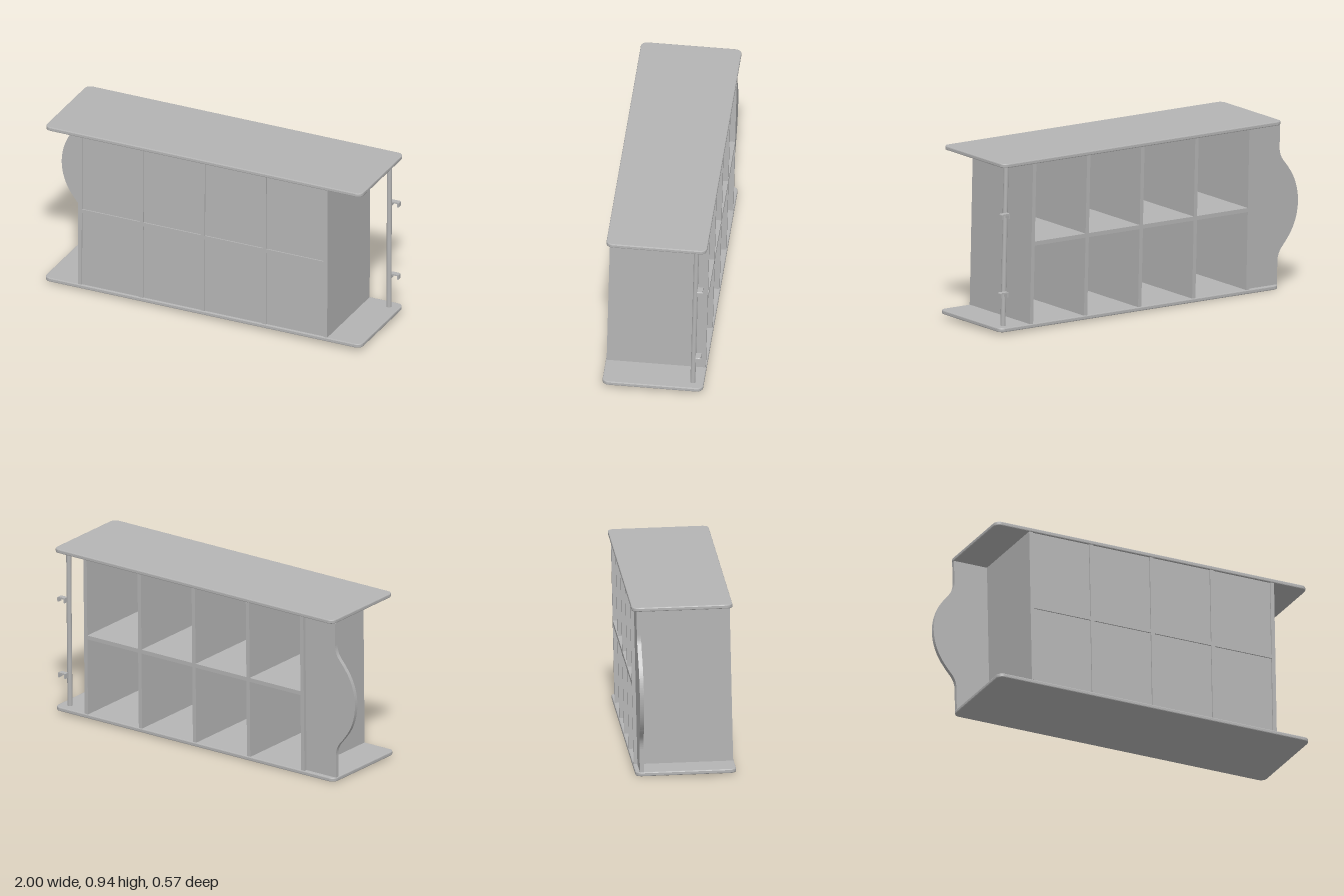
import * as THREE from 'three';

export function createModel() {
  const model = new THREE.Group();
  const body = new THREE.Group();
  body.name = 'cubbyShelf';
  model.add(body);

  const grey = new THREE.MeshStandardMaterial({ color: 0xb4b4b4 });
  grey.name = 'paintedGrey';

  const add = (name, geometry, x = 0, y = 0, z = 0) => {
    const mesh = new THREE.Mesh(geometry, grey);
    mesh.name = name;
    mesh.position.set(x, y, z);
    body.add(mesh);
    return mesh;
  };
  const box = (name, w, h, d, x, y, z) => add(name, new THREE.BoxGeometry(w, h, d), x, y, z);

  // Main dimensions, measured from the centre of the unit
  const halfLength = 0.932, halfDepth = 0.269, halfHeight = 0.46;
  const board = 0.022, inner = halfHeight - board, cell = 0.361;

  // Long outer panels with rounded corners and eased edges
  const bevel = 0.005, radius = 0.03, a = halfLength - bevel, b = halfDepth - bevel;
  const outline = new THREE.Shape();
  outline.moveTo(-a + radius, -b);
  outline.lineTo(a - radius, -b);
  outline.absarc(a - radius, -b + radius, radius, -Math.PI / 2, 0);
  outline.absarc(a - radius, b - radius, radius, 0, Math.PI / 2);
  outline.absarc(-a + radius, b - radius, radius, Math.PI / 2, Math.PI);
  outline.absarc(-a + radius, -b + radius, radius, Math.PI, Math.PI * 1.5);
  const panelGeometry = new THREE.ExtrudeGeometry(outline, {
    depth: board - 2 * bevel, bevelEnabled: true, bevelSize: bevel,
    bevelThickness: bevel, bevelSegments: 2, curveSegments: 8,
  });
  panelGeometry.center();
  panelGeometry.rotateX(-Math.PI / 2);
  for (const side of [-1, 1]) {
    add(side > 0 ? 'upperSidePanel' : 'lowerSidePanel', panelGeometry, 0, side * (halfHeight - board / 2), 0);
  }

  // Five cross boards and the middle divider form eight cells
  for (let i = -2; i <= 2; i++) box('crossBoard', board, 2 * inner, 0.53, i * cell, 0, 0);
  for (let i = 0; i < 4; i++) {
    const x = (i - 1.5) * cell;
    box('middleDivider', cell - board, board, 0.53, x, 0, 0);
    // Slightly recessed closing panels
    for (const side of [-1, 1]) {
      box('closingPanel', cell - board, inner - board / 2, 0.008, x, side * (inner + board / 2) / 2, 0.254);
    }
  }

  // Curved header board with a rounded crest
  const crest = new THREE.Shape();
  crest.moveTo(-0.733, -inner);
  crest.lineTo(-0.733, inner);
  crest.lineTo(-0.93, inner);
  crest.lineTo(-0.93, 0.31);
  crest.bezierCurveTo(-0.932, 0.25, -0.965, 0.235, -0.995, 0.19);
  crest.bezierCurveTo(-1.035, 0.14, -1.06, 0.07, -1.06, 0);
  crest.bezierCurveTo(-1.06, -0.07, -1.035, -0.14, -0.995, -0.19);
  crest.bezierCurveTo(-0.965, -0.235, -0.932, -0.25, -0.93, -0.31);
  crest.lineTo(-0.93, -inner);
  crest.closePath();
  add('headerBoard', new THREE.ExtrudeGeometry(crest, {
    depth: 0.022, bevelEnabled: false, curveSegments: 16,
  }), 0, 0, -0.246);

  // Hanging rod between the outer panels
  const rodX = 0.872, rodZ = -0.211;
  add('hangingRod', new THREE.CylinderGeometry(0.0135, 0.0135, 2 * inner, 20), rodX, 0, rodZ);

  // Small hooks clipped on the rod
  const hook = new THREE.Shape();
  hook.moveTo(0, -0.014);
  hook.lineTo(0, 0.014);
  hook.lineTo(0.042, 0.014);
  hook.quadraticCurveTo(0.049, 0.014, 0.049, 0.007);
  hook.lineTo(0.049, -0.014);
  hook.lineTo(0.041, -0.014);
  hook.lineTo(0.041, 0.006);
  hook.lineTo(0.008, 0.006);
  hook.lineTo(0.008, -0.014);
  hook.closePath();
  const hookGeometry = new THREE.ExtrudeGeometry(hook, { depth: 0.028, bevelEnabled: false, curveSegments: 6 });
  for (const y of [0.168, -0.262]) add('rodHook', hookGeometry, rodX - 0.001, y, -0.252);

  // The unit rests with a very slight lean
  body.rotation.set(-0.0225, 0.007, 0.0075);
  body.position.set(0.06, 0.474, 0);
  return model;
}
